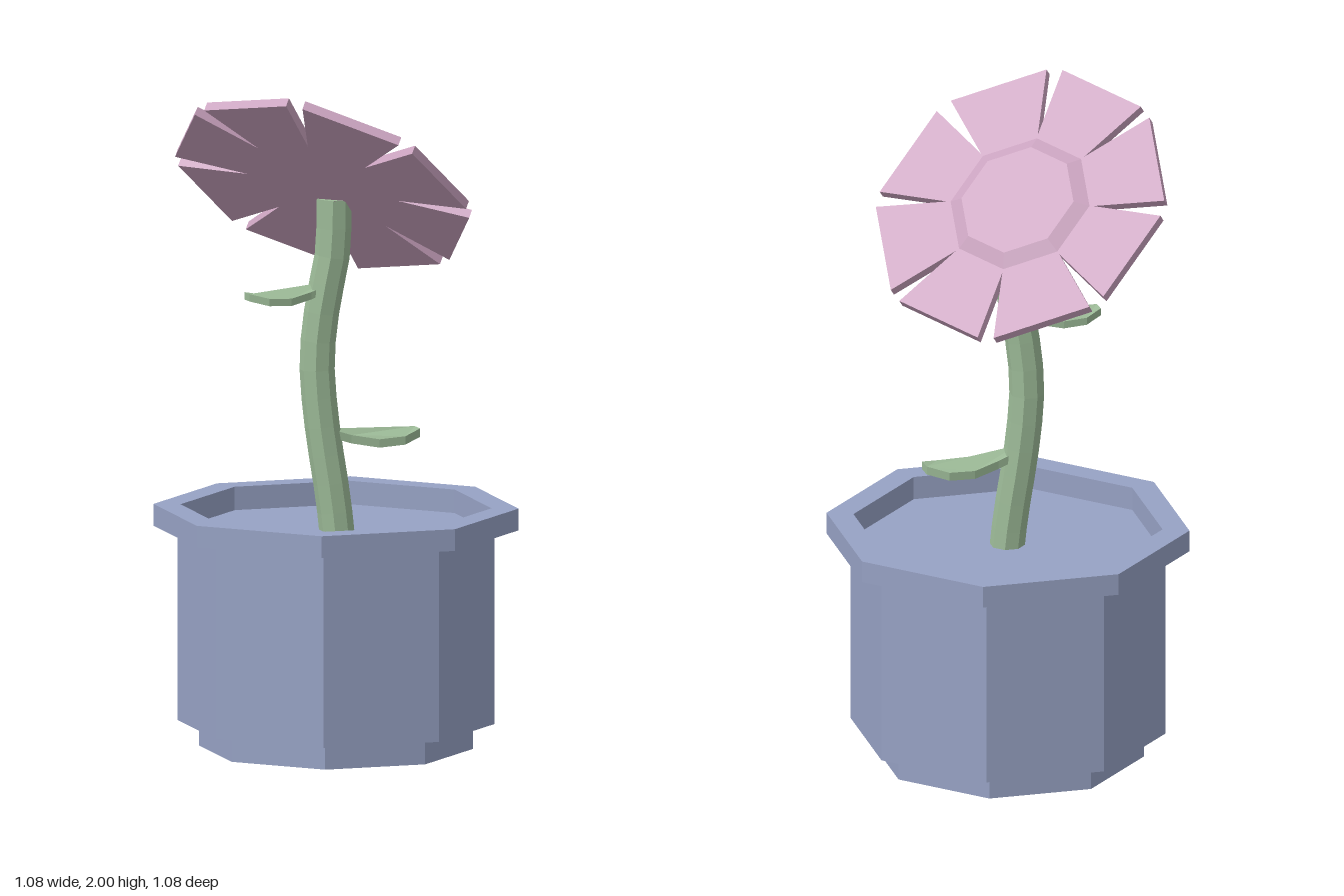
import * as THREE from 'three';

const mat = (color) => new THREE.MeshStandardMaterial({ color, flatShading: true });
const potMat = mat(0x97a2c4);
const greenMat = mat(0x9dbb98);
const petalMat = mat(0xcba4c0);

function add(parent, name, geometry, material) {
  const mesh = new THREE.Mesh(geometry, material);
  mesh.name = name;
  parent.add(mesh);
  return mesh;
}

// Leaf: flat outline with thickness, sagging along its length
function leafGeometry() {
  const half = [[0, 0.02], [0.07, 0.03], [0.15, 0.052], [0.23, 0.055], [0.29, 0.022]];
  const outline = [
    ...half.map(([x, w]) => new THREE.Vector2(x, -w)),
    ...half.slice().reverse().map(([x, w]) => new THREE.Vector2(x, w)),
  ];
  const g = new THREE.ExtrudeGeometry(new THREE.Shape(outline), { depth: 0.025, bevelEnabled: false });
  g.rotateX(-Math.PI / 2);
  const p = g.attributes.position;
  for (let i = 0; i < p.count; i++) {
    const t = p.getX(i) / 0.29;
    p.setY(i, p.getY(i) - 0.037 * Math.sin(Math.PI * Math.min(1, t * 0.85)));
  }
  g.computeVertexNormals();
  return g;
}

export function createModel() {
  const model = new THREE.Group();
  model.name = 'pottedFlower';

  // Octagonal pot with foot, overhanging rim and recessed soil
  const profile = [
    [0, 0], [0.405, 0], [0.405, 0.075], [0.468, 0.075], [0.468, 0.655],
    [0.54, 0.655], [0.54, 0.72], [0.46, 0.72], [0.46, 0.65], [0, 0.65],
  ].map(([r, y]) => new THREE.Vector2(r, y));
  add(model, 'pot', new THREE.LatheGeometry(profile, 8), potMat);

  // Gently curved stem with a flat top
  const path = new THREE.CatmullRomCurve3([
    [0.005, 0.62], [-0.008, 0.74], [-0.042, 0.97], [-0.056, 1.15],
    [-0.04, 1.32], [-0.01, 1.48], [-0.005, 1.64],
  ].map(([x, y]) => new THREE.Vector3(x, y, 0)));
  add(model, 'stem', new THREE.TubeGeometry(path, 12, 0.052, 8), greenMat);
  const cap = add(model, 'stemTop', new THREE.CircleGeometry(0.052, 8), greenMat);
  cap.rotation.x = -Math.PI / 2;
  cap.position.set(-0.005, 1.64, 0);

  // Two leaves on opposite sides
  const leaf = leafGeometry();
  const lower = add(model, 'lowerLeaf', leaf, greenMat);
  lower.position.set(-0.03, 0.93, 0);
  lower.rotation.y = 0.45;
  const upper = add(model, 'upperLeaf', leaf, greenMat);
  upper.position.set(-0.025, 1.365, 0);
  upper.rotation.y = Math.PI + 0.45;
  upper.scale.setScalar(0.88);

  // Tilted blossom: its local y axis is the direction it faces
  const flower = new THREE.Group();
  flower.name = 'flower';
  const n = new THREE.Vector3(0.25, 0.756, -0.605).normalize();
  const u = new THREE.Vector3(-0.055, 0.295, 0.345);
  u.addScaledVector(n, -u.dot(n)).normalize();
  const w = new THREE.Vector3().crossVectors(u, n);
  flower.quaternion.setFromRotationMatrix(new THREE.Matrix4().makeBasis(u, n, w));
  flower.position.set(-0.032, 1.695, 0.062);
  model.add(flower);

  // Eight straight-ended petals parted by narrow notches
  const points = [];
  const polar = (r, a) => points.push(new THREE.Vector2(r * Math.cos(a), r * Math.sin(a)));
  for (let i = 0; i < 8; i++) {
    const a = (i * Math.PI) / 4;
    polar(0.458, a - 0.056);
    polar(0.235, a);
    polar(0.458, a + 0.056);
  }
  const petals = new THREE.ExtrudeGeometry(new THREE.Shape(points), { depth: 0.028, bevelEnabled: false });
  petals.rotateX(-Math.PI / 2);
  petals.translate(0, -0.014, 0);
  add(flower, 'petals', petals, petalMat);

  // Low raised centre, corners in line with the notches
  const centre = new THREE.CylinderGeometry(0.18, 0.225, 0.024, 8);
  centre.translate(0, 0.025, 0);
  add(flower, 'flowerCentre', centre, petalMat);

  return model;
}
